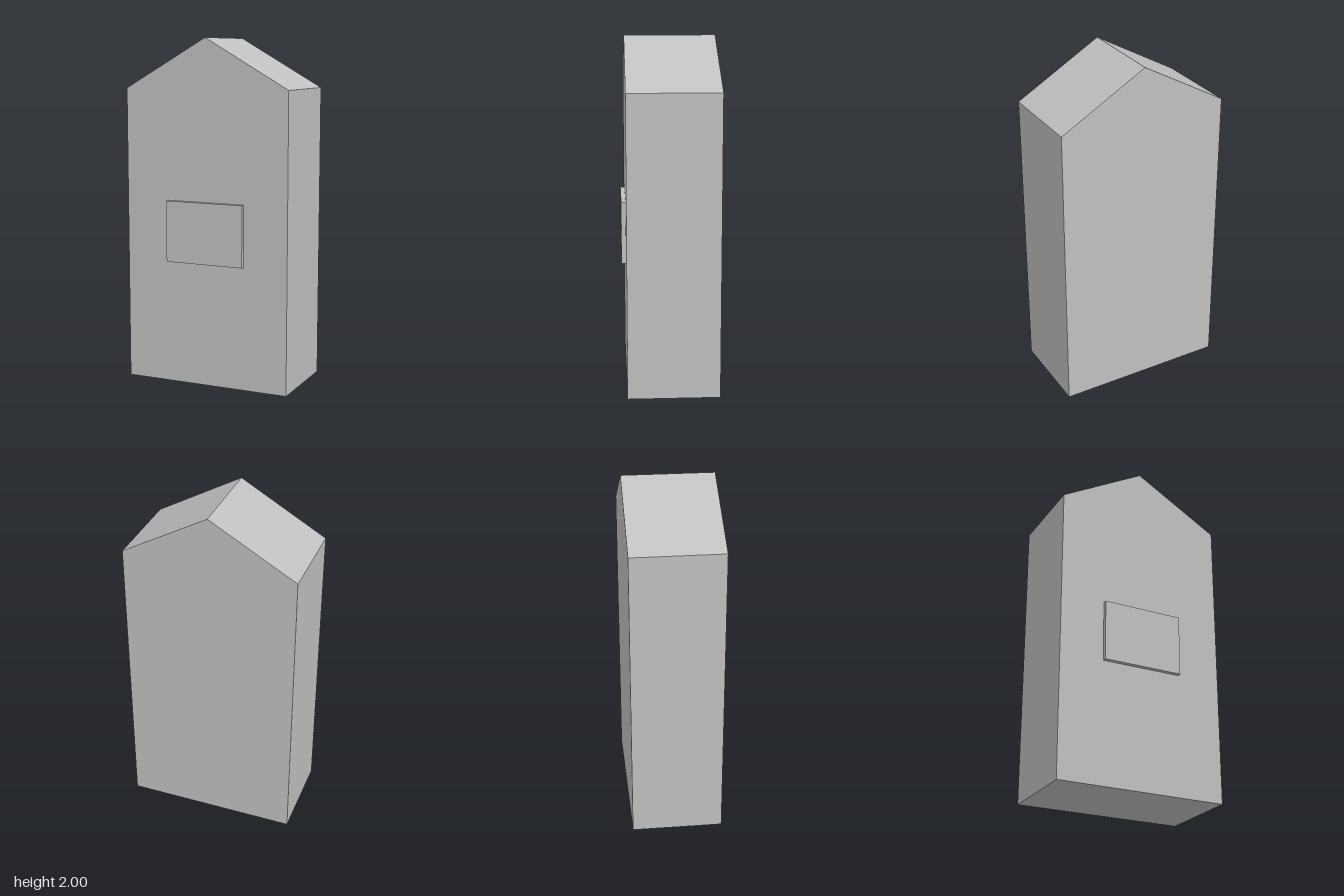
import * as THREE from 'three';

export function createModel() {
  const group = new THREE.Group();
  const stone = new THREE.MeshStandardMaterial({ color: 0xc0c0c0 });
  stone.name = 'stone grey';

  const backZ = -0.274, faceZ = 0.249, plaqueDepth = 0.025;

  // Upright slab with a gabled top
  const outline = new THREE.Shape([
    new THREE.Vector2(-0.5, 0),
    new THREE.Vector2(0.5, 0),
    new THREE.Vector2(0.5, 1.715),
    new THREE.Vector2(0, 2),
    new THREE.Vector2(-0.5, 1.715),
  ]);
  const slab = new THREE.Mesh(
    new THREE.ExtrudeGeometry(outline, { depth: faceZ - backZ, bevelEnabled: false }),
    stone
  );
  slab.name = 'gabledSlab';
  slab.position.z = backZ;
  group.add(slab);

  // Raised rectangular plaque on the front face
  const plaque = new THREE.Mesh(new THREE.BoxGeometry(0.474, 0.356, plaqueDepth), stone);
  plaque.name = 'frontPlaque';
  plaque.position.set(0, 0.896, faceZ + plaqueDepth / 2);
  group.add(plaque);

  return group;
}
